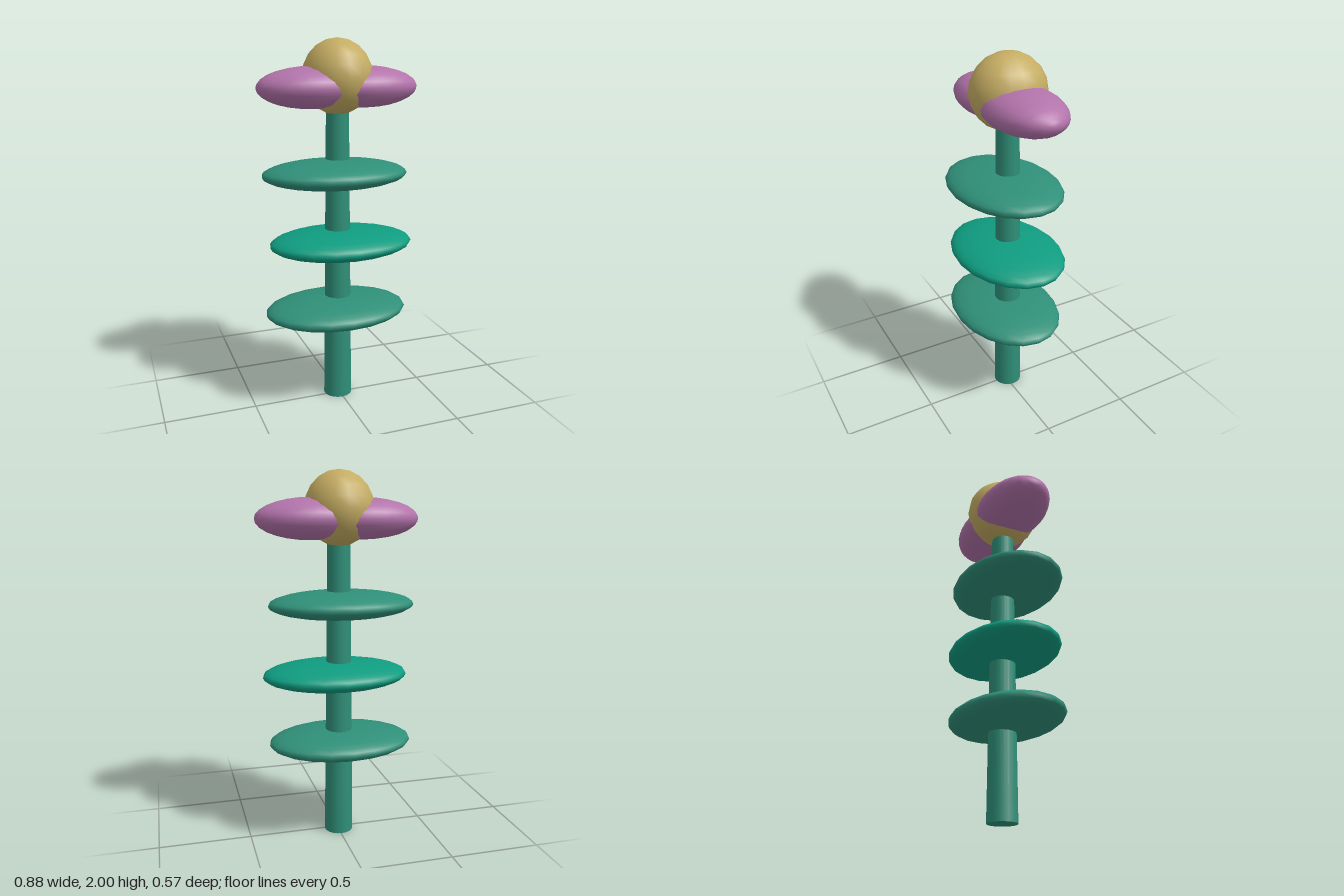
import * as THREE from 'three';

const GREEN = 0x2f8f78, BRIGHT = 0x0f9c80, PINK = 0xb273aa, GOLD = 0xc4ac62;

export function createModel() {
  const model = new THREE.Group();
  model.name = 'flower';

  const add = (name, geometry, color, x, y, z) => {
    const mesh = new THREE.Mesh(geometry, new THREE.MeshStandardMaterial({ color }));
    mesh.name = name;
    mesh.position.set(x, y, z);
    model.add(mesh);
    return mesh;
  };
  const ellipsoid = (rx, ry, rz, w = 20, h = 14) =>
    new THREE.SphereGeometry(1, w, h).scale(rx, ry, rz);

  // Tapered stem, ending inside the flower centre
  add('stem', new THREE.CylinderGeometry(0.06, 0.079, 1.72, 20), GREEN, -0.006, 0.86, -0.015);

  // Three flat oval leaves, alternately offset
  const leaves = [
    ['lowerLeaf', GREEN, -0.02, 0.528],
    ['middleLeaf', BRIGHT, 0.01, 0.912],
    ['upperLeaf', GREEN, -0.025, 1.297],
  ];
  for (const [name, color, x, y] of leaves) {
    add(name, ellipsoid(0.4, 0.077, 0.286), color, x, y, 0);
  }

  // Mirrored pair of petals, poles pointing outwards
  for (const side of [-1, 1]) {
    const petal = new THREE.SphereGeometry(1, 20, 14).rotateZ(-side * Math.PI / 2).scale(0.3, 0.11, 0.193);
    add(side > 0 ? 'leftPetal' : 'rightPetal', petal, PINK, side * 0.138, 1.75, -0.017);
  }

  // Round flower centre
  add('flowerCentre', ellipsoid(0.183, 0.197, 0.205, 16, 10), GOLD, -0.006, 1.803, -0.018);

  return model;
}
